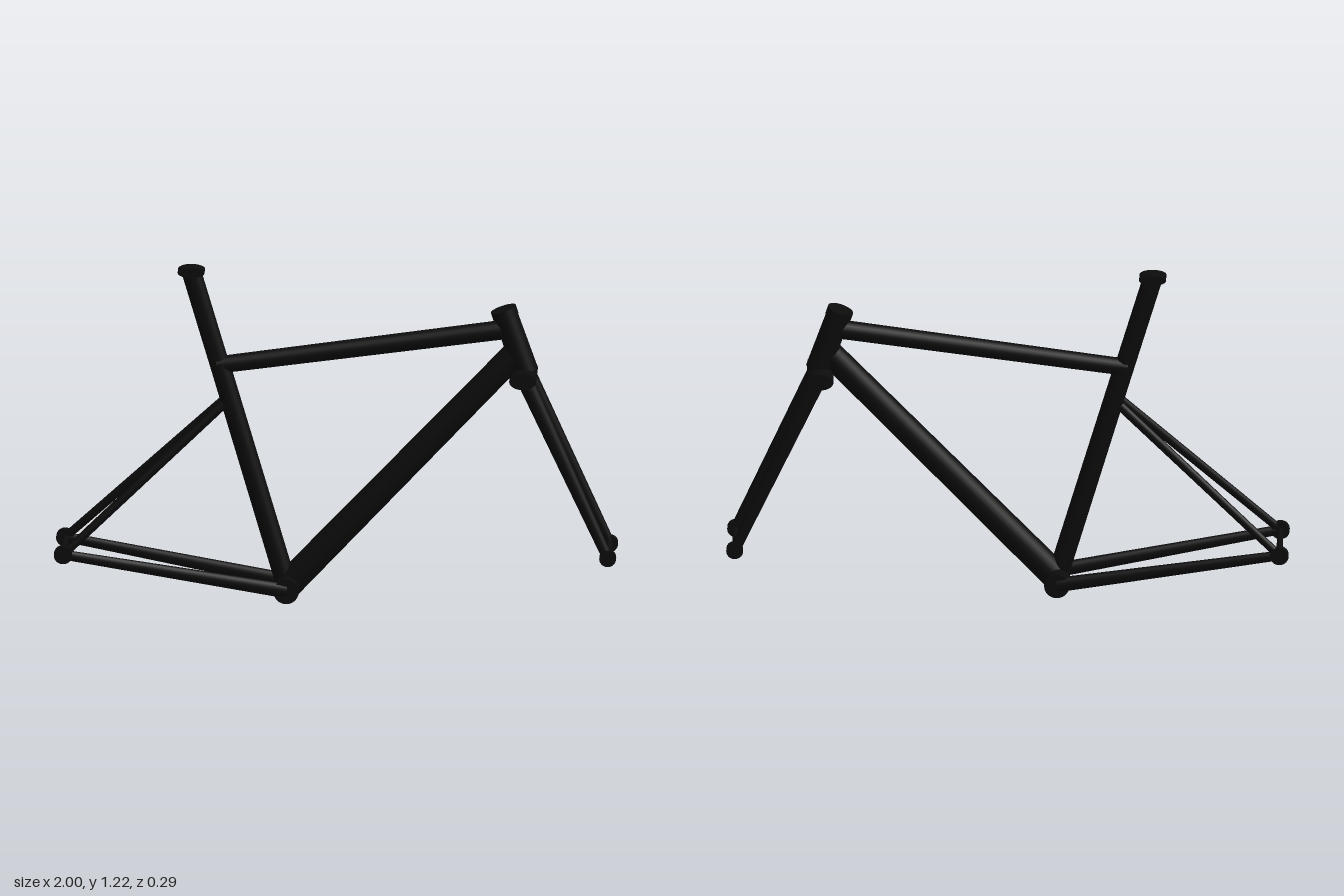
import * as THREE from 'three';

const black = new THREE.MeshStandardMaterial({ color: 0x0c0c0c });
black.name = 'black paint';

export function createModel() {
  const group = new THREE.Group();
  group.name = 'bicycleFrame';

  // tapered oval tube from a to b: radii at both ends in the frame plane, and depth as a ratio of them
  function tube(name, a, b, ra, rb, depth = 1) {
    const from = new THREE.Vector3(...a), to = new THREE.Vector3(...b);
    const along = to.clone().sub(from);
    const geo = new THREE.CylinderGeometry(rb, ra, along.length(), 24);
    geo.scale(1, 1, depth);
    const y = along.normalize();
    const x = new THREE.Vector3().crossVectors(y, new THREE.Vector3(0, 0, 1)).normalize();
    const z = new THREE.Vector3().crossVectors(x, y);
    const mesh = new THREE.Mesh(geo, black);
    mesh.quaternion.setFromRotationMatrix(new THREE.Matrix4().makeBasis(x, y, z));
    mesh.position.copy(from).add(to).multiplyScalar(0.5);
    mesh.name = name;
    group.add(mesh);
  }

  // oval barrel lying across the frame
  function barrel(name, x, y, z, rx, ry, width) {
    const geo = new THREE.CylinderGeometry(1, 1, width, 28);
    geo.rotateX(Math.PI / 2);
    geo.scale(rx, ry, 1);
    const mesh = new THREE.Mesh(geo, black);
    mesh.position.set(x, y, z);
    mesh.name = name;
    group.add(mesh);
  }

  // main triangle
  tube('seatTube', [-0.175, 0.045, 0], [-0.415, 0.865, 0], 0.037, 0.036, 0.85);
  tube('seatPost', [-0.4, 0.81, 0], [-0.515, 1.2, 0], 0.035, 0.035, 0.67);
  barrel('saddleClamp', -0.515, 1.202, 0, 0.048, 0.018, 0.06);
  tube('topTube', [-0.425, 0.856, 0], [0.61, 0.998, 0], 0.031, 0.035, 0.93);
  tube('downTube', [-0.17, 0.052, 0], [0.63, 0.9, 0], 0.052, 0.047, 0.88);
  barrel('bottomBracket', -0.175, 0.045, 0, 0.045, 0.045, 0.168);

  // steering head
  tube('headTube', [0.674, 0.845, 0], [0.6, 1.062, 0], 0.046, 0.043);
  tube('headCap', [0.604, 1.045, 0], [0.595, 1.073, 0], 0.047, 0.047);
  barrel('forkCrown', 0.667, 0.83, 0, 0.048, 0.03, 0.196);

  // paired stays, fork blades and dropouts
  for (const s of [1, -1]) {
    const side = s > 0 ? 'front' : 'back';
    tube(side + 'ChainStay', [-0.175, 0.045, s * 0.07], [-0.967, 0.185, s * 0.12], 0.027, 0.018, 0.7);
    tube(side + 'SeatStay', [-0.4, 0.72, s * 0.03], [-0.967, 0.185, s * 0.12], 0.017, 0.015, 0.75);
    tube(side + 'ForkBlade', [0.672, 0.835, s * 0.067], [0.97, 0.185, s * 0.101], 0.03, 0.019, 0.72);
    barrel(side + 'RearDropout', -0.967, 0.185, s * 0.12, 0.033, 0.032, 0.025);
    barrel(side + 'ForkDropout', 0.97, 0.185, s * 0.102, 0.03, 0.03, 0.025);
  }

  // axles
  barrel('rearAxle', -0.967, 0.185, 0, 0.011, 0.011, 0.29);
  barrel('forkAxle', 0.97, 0.185, 0, 0.01, 0.01, 0.235);

  return group;
}
